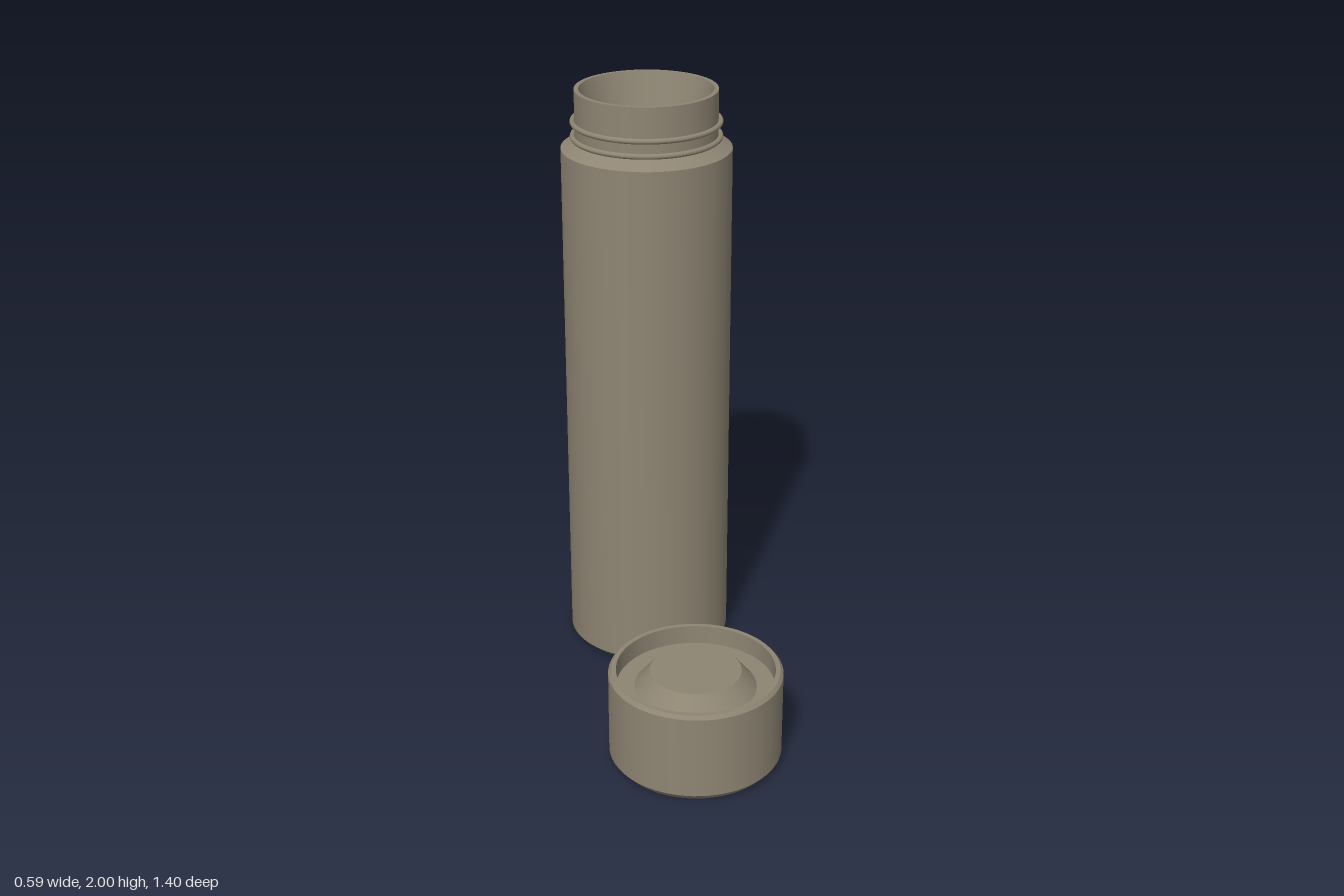
import * as THREE from 'three';
import { toCreasedNormals } from 'three/addons/utils/BufferGeometryUtils.js';

const metal = new THREE.MeshStandardMaterial({ color: 0x8e8573 });
metal.name = 'warmGrey';

// Turned part from [radius, height] pairs, with crisp edges
function turned(name, profile) {
  const points = profile.map(([r, y]) => new THREE.Vector2(r, y));
  const mesh = new THREE.Mesh(toCreasedNormals(new THREE.LatheGeometry(points, 72), 0.35), metal);
  mesh.name = name;
  return mesh;
}

export function createModel() {
  const model = new THREE.Group();
  model.name = 'openFlask';

  const bottle = new THREE.Group();
  bottle.name = 'bottle';
  bottle.position.set(0.012, 0, -0.418);
  // Body, sloped shoulder, neck and the tapered recess in the mouth
  bottle.add(turned('bottleBody', [
    [0, 0], [0.26, 0], [0.282, 0.02], [0.282, 1.805], [0.235, 1.835],
    [0.235, 2], [0.22, 2], [0.188, 1.87], [0, 1.87],
  ]));
  // Thread ridges around the neck
  for (const y of [1.843, 1.892]) {
    const ridge = new THREE.Mesh(new THREE.TorusGeometry(0.242, 0.009, 10, 72), metal);
    ridge.name = 'neckRidge';
    ridge.rotation.x = Math.PI / 2;
    ridge.position.y = y;
    bottle.add(ridge);
  }

  // Cap lying upside down, with a raised stopper inside its rim
  const cap = turned('cap', [
    [0, 0], [0.26, 0], [0.282, 0.025], [0.282, 0.308], [0.272, 0.32], [0.257, 0.32],
    [0.257, 0.255], [0.197, 0.255], [0.147, 0.315], [0, 0.315],
  ]);
  cap.position.set(-0.016, 0, 0.416);

  model.add(bottle, cap);
  return model;
}
